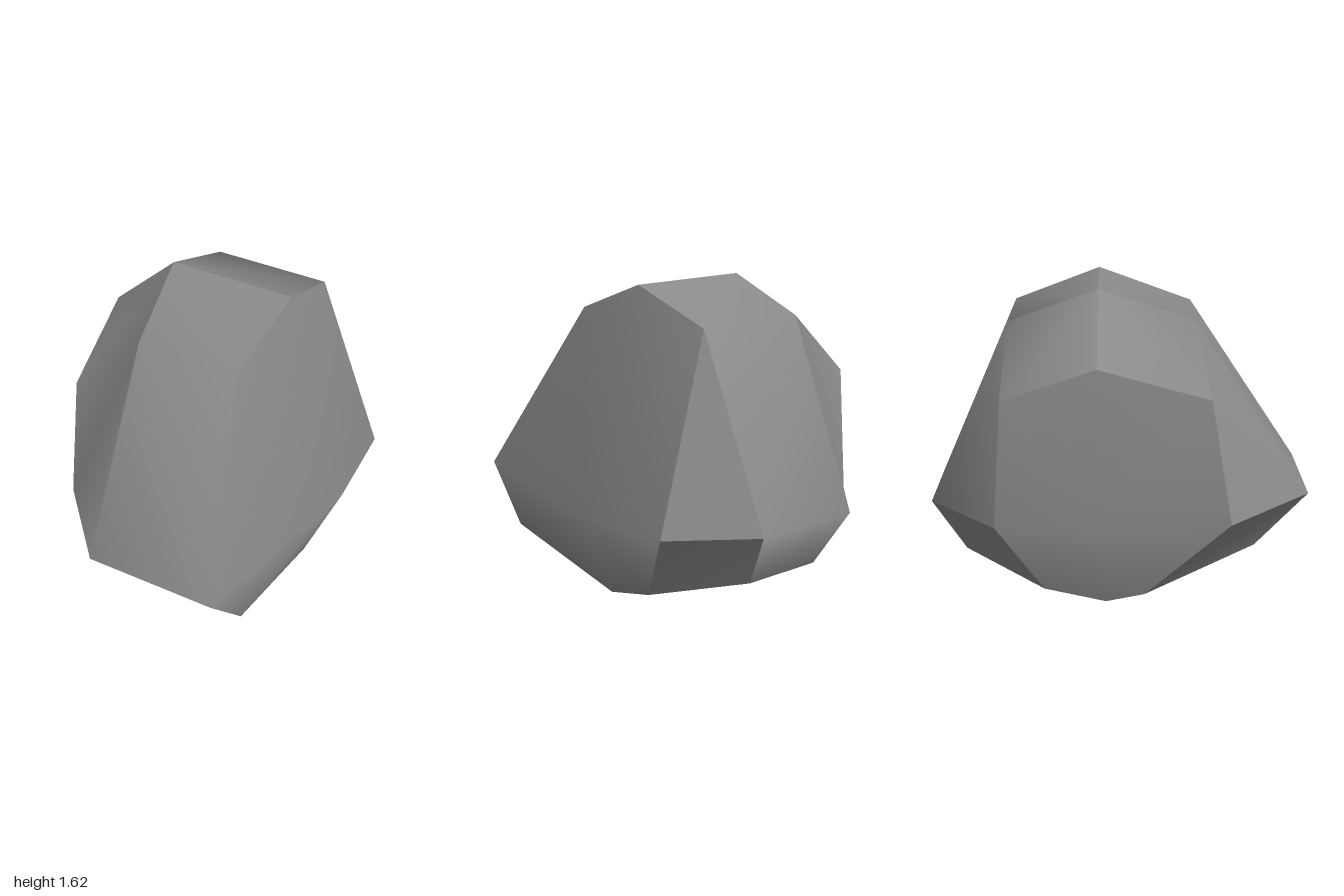
import * as THREE from 'three';

// Cross-sections of the boulder's middle band: [right x, left x, y, z], running round it
const band = {
  crest: [-0.34, 0.35, 1.62, -0.12],
  brow: [-0.25, 0.31, 1.445, 0.38],
  nose: [-0.2, 0.51, 0.49, 1],
  chin: [-0.17, 0.53, 0.185, 0.72],
  base: [-0.51, 0.51, 0, -0.08],
  heel: [-0.53, 0.53, 0.08, -0.4],
  tail: [-0.23, 0.23, 0.19, -0.83],
  back: [-0.31, 0.31, 0.485, -1],
  nape: [-0.32, 0.32, 1.45, -0.58],
};

// Corners of the two flanks
const points = {
  capTop: [-0.7, 1.29, -0.12],
  capFront: [-0.605, 1.11, 0.45],
  capLow: [-0.605, 0.455, 0.56],
  capFoot: [-0.51, 0.04, 0.12],
  capRear: [-0.67, 0.465, -0.64],
  capNape: [-0.66, 1.12, -0.6],
  capMid: [-0.7, 0.455, -0.12],
  bulge: [0.7, 0.455, -0.12],
  hip: [0.66, 0.46, -0.645],
};
for (const [name, [a, b, y, z]] of Object.entries(band)) {
  points[name + '-'] = [a, y, z];
  points[name + '+'] = [b, y, z];
}

const strip = (a, b) => `${a}- ${a}+ ${b}+ ${b}-`;
// Triangles between a centre and the ring of points round it
const fan = (centre, ring) => {
  const names = ring.split(' ');
  return names.map((n, i) => `${centre} ${n} ${names[(i + 1) % names.length]}`);
};

// Each panel is shaded smoothly inside and meets its neighbours at a hard edge.
// A trailing * gives a corner its own normal within the panel.
const panels = {
  frontSlope: [
    strip('crest', 'brow'), strip('brow', 'nose'),
    'crest-* brow-* capFront capTop', 'brow-* nose- capLow capFront',
  ],
  backSlope: [
    strip('crest', 'nape'), strip('nape', 'back'), strip('back', 'tail'),
    'crest-* nape-* capNape capTop', 'nape-* back- capRear capNape',
  ],
  leftFlank: fan('bulge', 'crest+ brow+ nose+ chin+ base+ heel+ hip nape+'),
  rightFlank: fan('capMid', 'capTop capFront capLow capFoot base- heel- capRear capNape'),
  frontLip: [strip('nose', 'chin')],
  frontLipCorner: ['nose- chin- capFoot capLow'],
  frontUnderside: ['chin- chin+ base+ base- capFoot'],
  backUnderside: ['base- base+ heel+ tail+ tail- heel-'],
  backRightFacet: ['back- capRear heel- tail-'],
  backLeftFacet: ['back+ hip heel+ tail+'],
  backLeftWedge: ['nape+ back+ hip'],
};

const inside = new THREE.Vector3(0, 0.7, -0.05);

function panelGeometry(polygons) {
  const ids = new Map(), position = [], index = [];
  const vertex = (name) => {
    if (!ids.has(name)) {
      ids.set(name, ids.size);
      position.push(...points[name.replace('*', '')]);
    }
    return ids.get(name);
  };
  const at = (i) => new THREE.Vector3().fromArray(position, i * 3);
  for (const polygon of polygons) {
    const v = polygon.split(' ').map(vertex);
    for (let i = 1; i < v.length - 1; i++) {
      const [a, b, c] = [v[0], v[i], v[i + 1]];
      const normal = at(b).sub(at(a)).cross(at(c).sub(at(a)));
      // turn every triangle to face outward
      if (normal.dot(at(a).sub(inside)) > 0) index.push(a, b, c);
      else index.push(a, c, b);
    }
  }
  const geometry = new THREE.BufferGeometry();
  geometry.setAttribute('position', new THREE.Float32BufferAttribute(position, 3));
  geometry.setIndex(index);
  geometry.computeVertexNormals();
  return geometry;
}

export function createModel() {
  const model = new THREE.Group();
  model.name = 'boulder';
  const stone = new THREE.MeshStandardMaterial({ color: 0x8a8a8a });
  stone.name = 'stone grey';
  for (const [name, polygons] of Object.entries(panels)) {
    const mesh = new THREE.Mesh(panelGeometry(polygons), stone);
    mesh.name = name;
    model.add(mesh);
  }
  return model;
}
